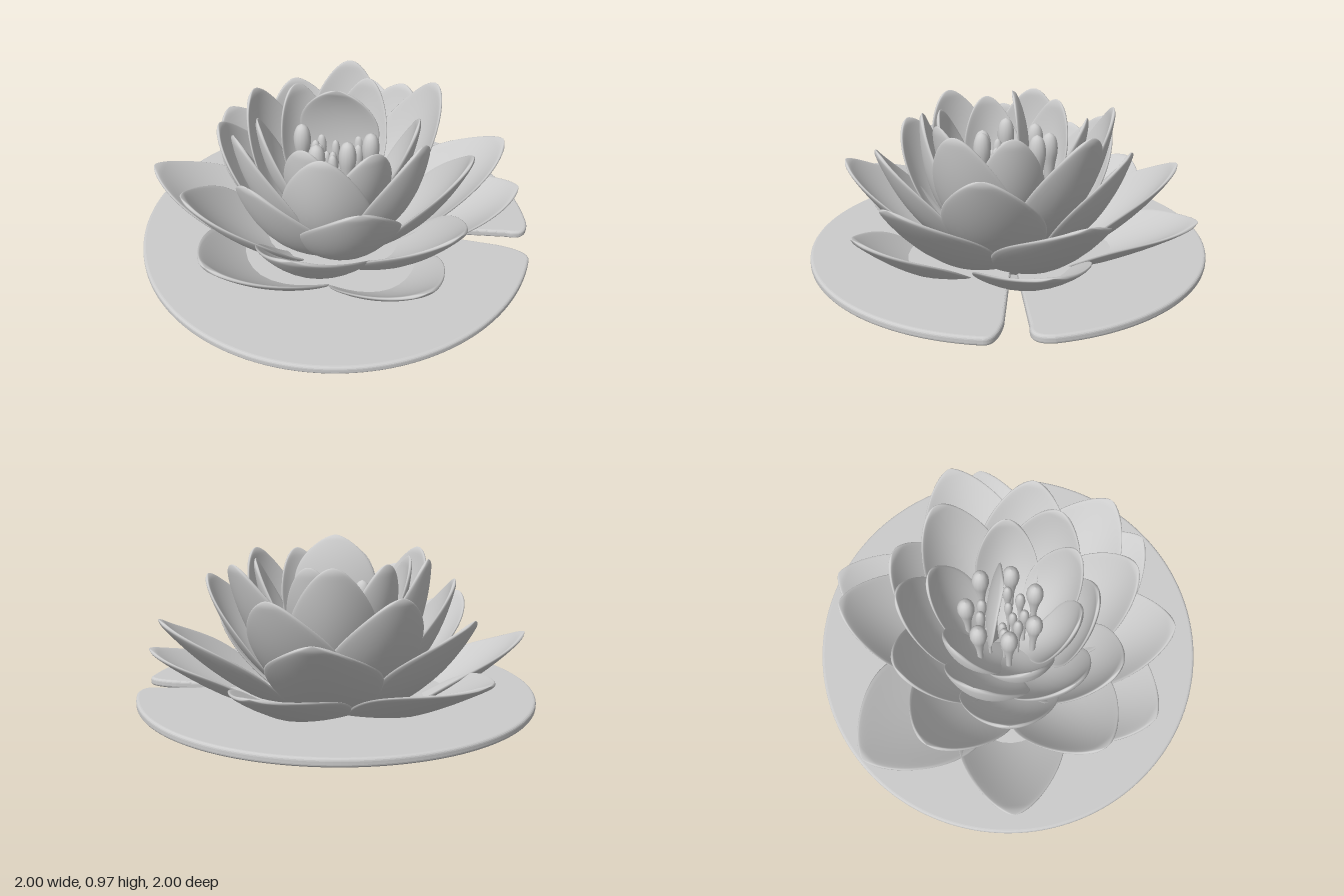
import * as THREE from 'three';

const material = new THREE.MeshStandardMaterial({ color: 0xcccccc });
const rad = THREE.MathUtils.degToRad;

// Spoon-shaped petal growing along +x: lens cross-sections swept along a curved spine
function petalGeometry({ base, control, tip, width, cup, round, thickness = 0.012 }) {
  const spine = new THREE.QuadraticBezierCurve(
    new THREE.Vector2(...base), new THREE.Vector2(...control), new THREE.Vector2(...tip));
  const rows = 32, ring = 32, positions = [], index = [];
  for (let i = 0; i <= rows; i++) {
    const t = Math.sin((i / rows) * Math.PI / 2); // rows gather towards the rounded tip
    const p = spine.getPoint(t), d = spine.getTangent(t);
    const w = width * Math.pow(Math.max(Math.sin(Math.PI * Math.pow(t, 1.35)), 0), round) + 0.002;
    const h = thickness * Math.min(1, w / 0.06);
    for (let j = 0; j < ring; j++) {
      const a = (j / ring) * Math.PI * 2;
      const u = Math.cos(a), s = Math.sin(a);
      const n = cup * w * w * u * u / width + h * Math.sign(s) * Math.sqrt(Math.abs(s));
      positions.push(p.x - d.y * n, p.y + d.x * n, u * w);
      if (i < rows) {
        const b = i * ring + j, c = i * ring + (j + 1) % ring;
        index.push(b, b + ring, c, c, b + ring, c + ring);
      }
    }
  }
  const g = new THREE.BufferGeometry();
  g.setAttribute('position', new THREE.Float32BufferAttribute(positions, 3));
  g.setIndex(index);
  g.computeVertexNormals();
  return g;
}

// Each petal: [angle in degrees from +x towards +z, tip radius, tip height, extra width, extra lift]
const layers = [
  { name: 'outerPetal', base: [0.02, 0.007], control: [0.5, 0.04], width: 0.27, cup: 0.35, round: 0.7,
    petals: [[174, 0.95, 0.48], [222, 0.98, 0.41, 0.05, 0.07], [285, 0.95, 0.4, 0, 0.08],
      [346, 0.93, 0.42, 0, 0.05], [50, 0.88, 0.42], [119, 0.87, 0.44, 0.06]] },
  { name: 'lowerPetal', base: [0.02, 0.05], control: [0.5, 0.13], width: 0.27, cup: 0.4, round: 0.66,
    petals: [[90, 0.82, 0.61], [141, 0.8, 0.61], [206, 0.75, 0.62], [270, 0.84, 0.61], [335, 0.88, 0.6], [36, 0.83, 0.61]] },
  { name: 'middlePetal', base: [0.02, 0.08], control: [0.47, 0.19], width: 0.245, cup: 0.4, round: 0.6,
    petals: [[7, 0.68, 0.75], [68, 0.66, 0.74], [117, 0.61, 0.75], [175, 0.59, 0.75], [235, 0.61, 0.75], [292, 0.63, 0.74]] },
  { name: 'upperPetal', base: [0.02, 0.13], control: [0.45, 0.27], width: 0.215, cup: 0.42, round: 0.56,
    petals: [[26, 0.5, 0.87], [86, 0.42, 0.86], [140, 0.52, 0.87], [195, 0.47, 0.87], [265, 0.52, 0.88], [318, 0.58, 0.87]] },
  { name: 'innerPetal', base: [0.02, 0.21], control: [0.35, 0.36], width: 0.16, cup: 0.42, round: 0.54,
    petals: [[354, 0.4, 0.85], [52, 0.4, 0.86], [102, 0.35, 0.85], [160, 0.38, 0.85], [222, 0.36, 0.86], [282, 0.39, 0.86]] },
];

// Round floating leaf with a narrow notch on the +x side, tipped very slightly
function makePad() {
  const R = 0.985, s = new THREE.Shape();
  s.moveTo(0.15, 0.03);
  s.lineTo(0.88, 0.145);
  s.quadraticCurveTo(0.97, 0.135, R * Math.cos(0.24), R * Math.sin(0.24));
  s.absarc(0, 0, R, 0.24, Math.PI * 2 - 0.06, false);
  s.quadraticCurveTo(0.98, -0.01, 0.84, 0.005);
  s.closePath();
  const g = new THREE.ExtrudeGeometry(s, {
    depth: 0.014, bevelThickness: 0.014, bevelSize: 0.015, bevelSegments: 4, curveSegments: 96 });
  g.rotateX(-Math.PI / 2);
  g.rotateX(0.005);
  g.rotateZ(0.005);
  g.translate(0, 0.161, 0);
  const pad = new THREE.Mesh(g, material);
  pad.name = 'lilyPad';
  return pad;
}

// Club-shaped stamen with a rounded head
function stamenGeometry(radius, bottom, top) {
  const h = top - bottom;
  const profile = [[0.35, 0], [0.4, 0.4], [0.7, 0.65], [1, 0.8], [0.95, 0.9], [0.6, 0.97], [0, 1]];
  const curve = new THREE.SplineCurve(profile.map(([r, y]) => new THREE.Vector2(r * radius, bottom + y * h)));
  const points = curve.getPoints(20).map(p => new THREE.Vector2(Math.max(p.x, 0), p.y));
  return new THREE.LatheGeometry(points, 14);
}

function makeStamens() {
  const group = new THREE.Group();
  group.name = 'stamens';
  const rings = [
    { name: 'outerStamen', count: 7, r: 0.175, size: 0.042, top: 0.77, start: 10 },
    { name: 'innerStamen', count: 9, r: 0.11, size: 0.025, top: 0.69, start: 10 },
    { name: 'centerStamen', count: 5, r: 0.055, size: 0.022, top: 0.64, start: 30 },
  ];
  for (const { name, count, r, size, top, start } of rings) {
    for (let i = 0; i < count; i++) {
      const a = rad(start + (i * 360) / count);
      const m = new THREE.Mesh(stamenGeometry(size, 0.25, top + 0.02 * Math.sin(i * 2.4)), material);
      m.position.set(r * Math.cos(a), 0, r * Math.sin(a) - 0.03);
      m.name = name;
      group.add(m);
    }
  }
  return group;
}

export function createModel() {
  const model = new THREE.Group();
  model.name = 'waterLily';
  model.add(makePad());

  // Petal whorls
  for (const { name, base, control, width, cup, round, petals } of layers) {
    const whorl = new THREE.Group();
    whorl.name = name + 's';
    for (const [angle, r, y, wider = 0, lift = 0] of petals) {
      const m = new THREE.Mesh(petalGeometry({
        base, control: [control[0], control[1] + lift], tip: [r, y], width: width + wider, cup, round }), material);
      m.rotation.y = -rad(angle);
      m.name = name;
      whorl.add(m);
    }
    model.add(whorl);
  }

  // Upright petal at the heart of the flower
  const heart = new THREE.Mesh(petalGeometry({
    base: [0.05, 0.25], control: [0.16, 0.72], tip: [0.02, 0.97], width: 0.2, cup: 0.15, round: 0.7, thickness: 0.009 }), material);
  heart.rotation.y = Math.PI / 2;
  heart.name = 'centerPetal';
  model.add(heart);

  model.add(makeStamens());
  return model;
}
